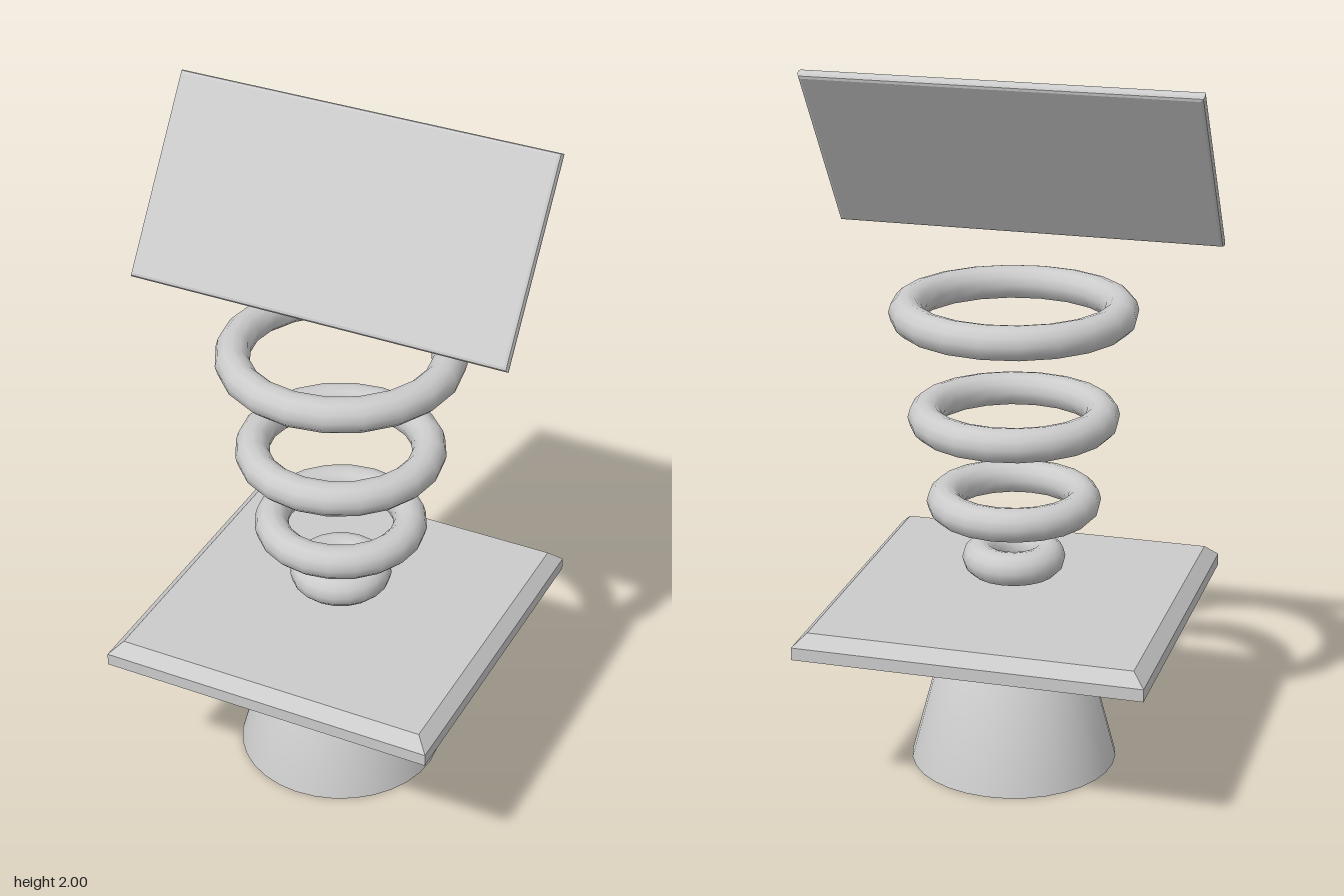
import * as THREE from 'three';

const smooth = new THREE.MeshStandardMaterial({ color: 0xcccccc });
const flat = new THREE.MeshStandardMaterial({ color: 0xcccccc, flatShading: true });

function add(parent, name, geometry, material) {
  const mesh = new THREE.Mesh(geometry, material);
  mesh.name = name;
  parent.add(mesh);
  return mesh;
}

// Profile points run from bottom to top so that faces point outwards
const profile = (pairs) => pairs.map(([r, y]) => new THREE.Vector2(r, y));

export function createModel() {
  const model = new THREE.Group();
  model.name = 'model';

  // Tapered pedestal with a sloping shoulder and a closed underside
  const pedestal = new THREE.Group();
  pedestal.name = 'pedestal';
  model.add(pedestal);
  add(pedestal, 'pedestalBody',
    new THREE.LatheGeometry(profile([[0.295, 0], [0.213, 0.313], [0.058, 0.445]]), 32), smooth);
  add(pedestal, 'pedestalBottom', new THREE.CircleGeometry(0.295, 32), smooth).rotation.x = Math.PI / 2;

  // Square plate with a bevelled upper rim: a four-sided lathe
  const d = Math.SQRT2;
  add(model, 'plate', new THREE.LatheGeometry(
    profile([[0, 0.445], [0.492 * d, 0.445], [0.492 * d, 0.481], [0.457 * d, 0.515], [0, 0.515]]),
    4, Math.PI / 4), flat);

  // Floating rings that widen upwards: [centre height, ring radius]
  const rings = new THREE.Group();
  rings.name = 'rings';
  model.add(rings);
  [[0.613, 0.098], [0.783, 0.197], [1.032, 0.247], [1.335, 0.296]].forEach(([y, radius], i) => {
    const ring = add(rings, `ring${i + 1}`, new THREE.TorusGeometry(radius, 0.048, 12, 20), smooth);
    ring.rotation.x = Math.PI / 2;
    ring.position.y = y;
  });

  // Thin panel with softened edges, leaning back
  const w = 1.10, h = 0.57, t = 0.03, bevel = 0.01;
  const x = w / 2 - bevel, y = h / 2 - bevel;
  const outline = new THREE.Shape(profile([[-x, -y], [x, -y], [x, y], [-x, y]]));
  const panelGeometry = new THREE.ExtrudeGeometry(outline, {
    depth: t - 2 * bevel, bevelEnabled: true, bevelSize: bevel, bevelThickness: bevel, bevelSegments: 2,
  });
  panelGeometry.center();
  const panel = add(model, 'panel', panelGeometry, flat);
  panel.rotation.x = -0.59;
  panel.position.y = 1.76;

  return model;
}
